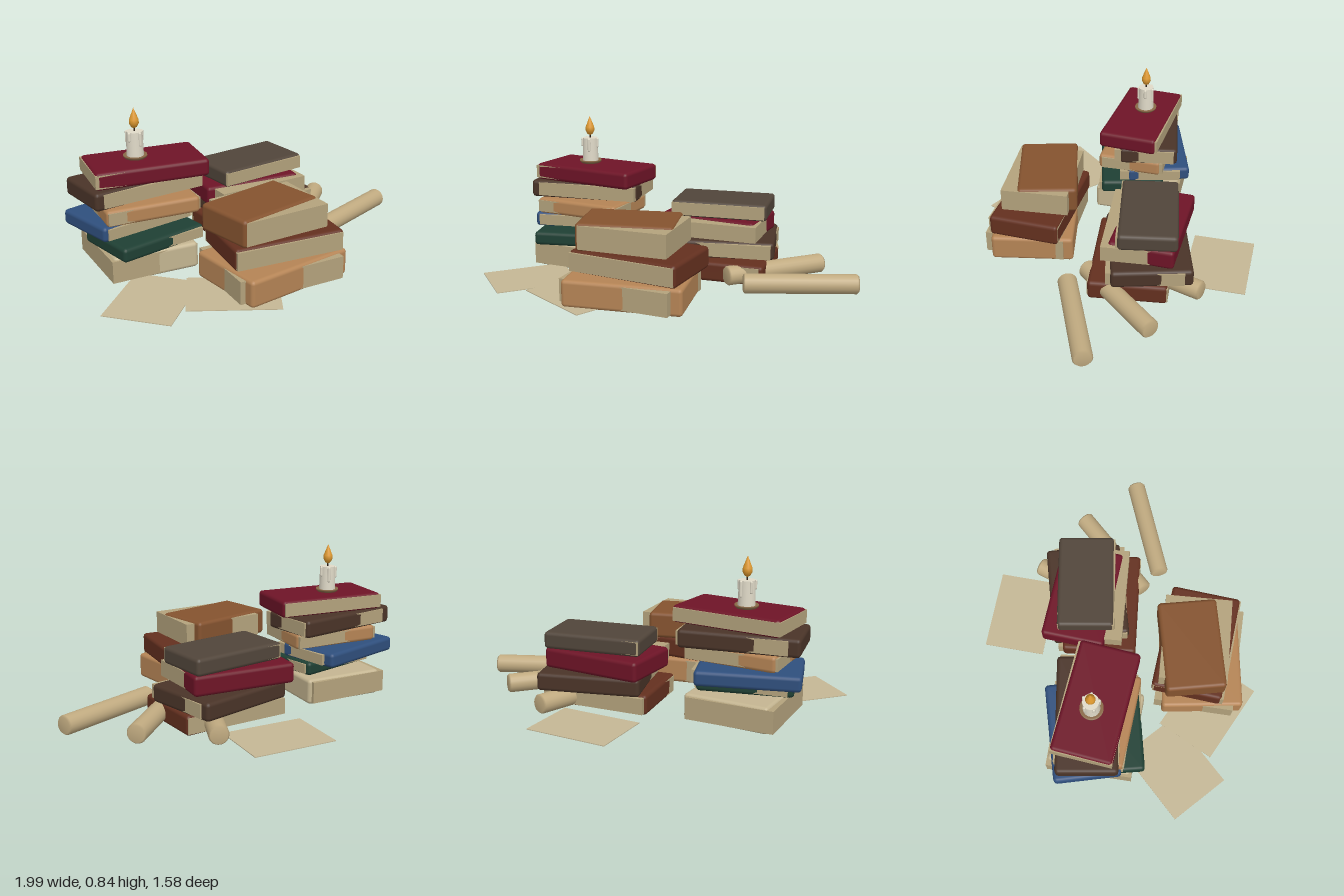
import * as THREE from 'three';
import { RoundedBoxGeometry } from 'three/addons/geometries/RoundedBoxGeometry.js';

const mat = (color, side = THREE.FrontSide) => new THREE.MeshStandardMaterial({ color, side });
const parchment = mat(0xb3a27c);
const paper = mat(0xc4b795);
const scrollPaper = mat(0xc0aa80);
const wax = mat(0xe0dac8);
const brass = mat(0x8a6a48);
const flameMat = mat(0xe09a30);
const wickMat = mat(0x2a2018);
const covers = {
  cream: mat(0xc4b591), green: mat(0x1f4034), blue: mat(0x2f4f7d), tan: mat(0xb58455),
  dark: mat(0x4a3428), red: mat(0x6e1427), russet: mat(0x64301f), brown: mat(0x85532f), grey: mat(0x51453a),
};

function mesh(parent, name, geo, material, x = 0, y = 0, z = 0, ry = 0) {
  const m = new THREE.Mesh(geo, material);
  m.name = name;
  m.position.set(x, y, z);
  m.rotation.y = ry;
  parent.add(m);
  return m;
}

// Book: [cover colour, y bottom, y top, cover [x, z, w, d, turn], pages [x, z, w, d, turn]]
function book(parent, [color, y0, y1, c, p]) {
  const g = new THREE.Group();
  g.name = color + 'Book';
  const h = y1 - y0, y = (y0 + y1) / 2;
  mesh(g, 'cover', new RoundedBoxGeometry(c[2], h, c[3], 2, 0.02), covers[color], c[0], y, c[1], c[4]);
  mesh(g, 'pages', new THREE.BoxGeometry(p[2], h - 0.022, p[3]), parchment, p[0], y, p[1], p[4]);
  parent.add(g);
}

const stacks = {
  candleStack: [
    ['cream', 0.0, 0.14, [-0.57, -0.08, 0.46, 0.46, -0.06], [-0.585, -0.085, 0.47, 0.47, -0.02]],
    ['green', 0.14, 0.215, [-0.577, -0.01, 0.5, 0.36, 0.2], [-0.57, -0.01, 0.48, 0.35, 0.12]],
    ['blue', 0.215, 0.295, [-0.628, -0.142, 0.53, 0.36, 0.245], [-0.6, -0.115, 0.5, 0.35, 0.17]],
    ['tan', 0.295, 0.382, [-0.56, -0.06, 0.5, 0.36, -0.08], [-0.56, -0.065, 0.5, 0.355, -0.03]],
    ['dark', 0.382, 0.478, [-0.583, -0.117, 0.62, 0.325, 0.129], [-0.555, -0.11, 0.57, 0.335, 0.08]],
    ['red', 0.478, 0.57, [-0.535, -0.075, 0.6, 0.325, -0.125], [-0.54, -0.08, 0.594, 0.326, -0.112]],
  ],
  frontStack: [
    ['tan', 0.005, 0.148, [-0.075, 0.445, 0.62, 0.45, 0.143], [-0.085, 0.445, 0.59, 0.44, -0.02]],
    ['russet', 0.148, 0.265, [-0.05, 0.415, 0.6, 0.39, -0.09], [-0.055, 0.42, 0.585, 0.395, -0.08]],
    ['brown', 0.265, 0.41, [-0.116, 0.384, 0.5, 0.325, 0.214], [-0.08, 0.405, 0.475, 0.365, 0.03]],
  ],
  backStack: [
    ['russet', 0.0, 0.108, [0.175, -0.15, 0.6, 0.42, 0.07], [0.17, -0.16, 0.58, 0.425, 0.03]],
    ['dark', 0.108, 0.205, [0.196, -0.238, 0.55, 0.43, 0.23], [0.2, -0.22, 0.54, 0.41, 0.16]],
    ['red', 0.205, 0.313, [0.135, -0.25, 0.56, 0.35, -0.08], [0.15, -0.19, 0.54, 0.36, 0.04]],
    ['grey', 0.313, 0.405, [0.176, -0.235, 0.53, 0.31, 0.125], [0.174, -0.23, 0.515, 0.312, 0.115]],
  ],
};

// Rolled scroll lying on the ground between two points
function scroll(parent, x0, z0, x1, z1) {
  const r = 0.052, len = Math.hypot(x1 - x0, z1 - z0);
  const profile = [[0, -len / 2], [r - 0.008, -len / 2], [r, -len / 2 + 0.01],
    [r, len / 2 - 0.01], [r - 0.008, len / 2], [0, len / 2]].map(a => new THREE.Vector2(...a));
  const m = mesh(parent, 'scroll', new THREE.LatheGeometry(profile, 20), scrollPaper, (x0 + x1) / 2, r, (z0 + z1) / 2);
  m.quaternion.setFromUnitVectors(new THREE.Vector3(0, 1, 0), new THREE.Vector3(x1 - x0, 0, z1 - z0).normalize());
}

function candle() {
  const g = new THREE.Group();
  g.name = 'candle';
  const lathe = (pts, n = 24) => new THREE.LatheGeometry(pts.map(a => new THREE.Vector2(...a)), n);
  mesh(g, 'dish', lathe([[0, 0], [0.05, 0], [0.062, 0.012], [0.062, 0.02], [0.05, 0.016], [0, 0.016]]), brass);
  mesh(g, 'candleBody', new THREE.CylinderGeometry(0.042, 0.045, 0.13, 20), wax, 0, 0.08, 0);
  mesh(g, 'wick', new THREE.CylinderGeometry(0.004, 0.004, 0.03, 6), wickMat, 0, 0.155, 0);
  mesh(g, 'flame', lathe([[0, 0.158], [0.015, 0.167], [0.026, 0.188], [0.024, 0.207], [0.012, 0.238], [0, 0.268]], 14), flameMat);
  // Wax drips around the rim
  [[0.3, 0.06], [1.6, 0.04], [2.7, 0.07], [4.0, 0.05], [5.2, 0.035]].forEach(([a, len]) =>
    mesh(g, 'waxDrip', new THREE.CapsuleGeometry(0.008, len, 4, 8), wax,
      0.043 * Math.sin(a), 0.138 - len / 2, 0.043 * Math.cos(a)));
  g.position.set(-0.58, 0.568, -0.09);
  return g;
}

export function createModel() {
  const model = new THREE.Group();
  model.name = 'bookStacks';

  for (const [name, books] of Object.entries(stacks)) {
    const g = new THREE.Group();
    g.name = name;
    books.forEach(b => book(g, b));
    model.add(g);
  }
  model.add(candle());

  // Loose sheets: x, z, width, depth, turn
  [[0.075, -0.615, 0.45, 0.34, -0.05], [-0.716, 0.375, 0.45, 0.35, 0.785], [-0.35, 0.525, 0.465, 0.34, -0.48]]
    .forEach(([x, z, w, d, turn], i) =>
      mesh(model, 'looseSheet', new THREE.BoxGeometry(w, 0.004, d), paper, x, 0.007 + i * 0.001, z, turn));

  scroll(model, 0.42, 0.16, 0.98, -0.05);
  scroll(model, 0.3, 0.08, 0.716, -0.335);
  scroll(model, 0.375, -0.55, 0.2, -0.1);
  return model;
}
